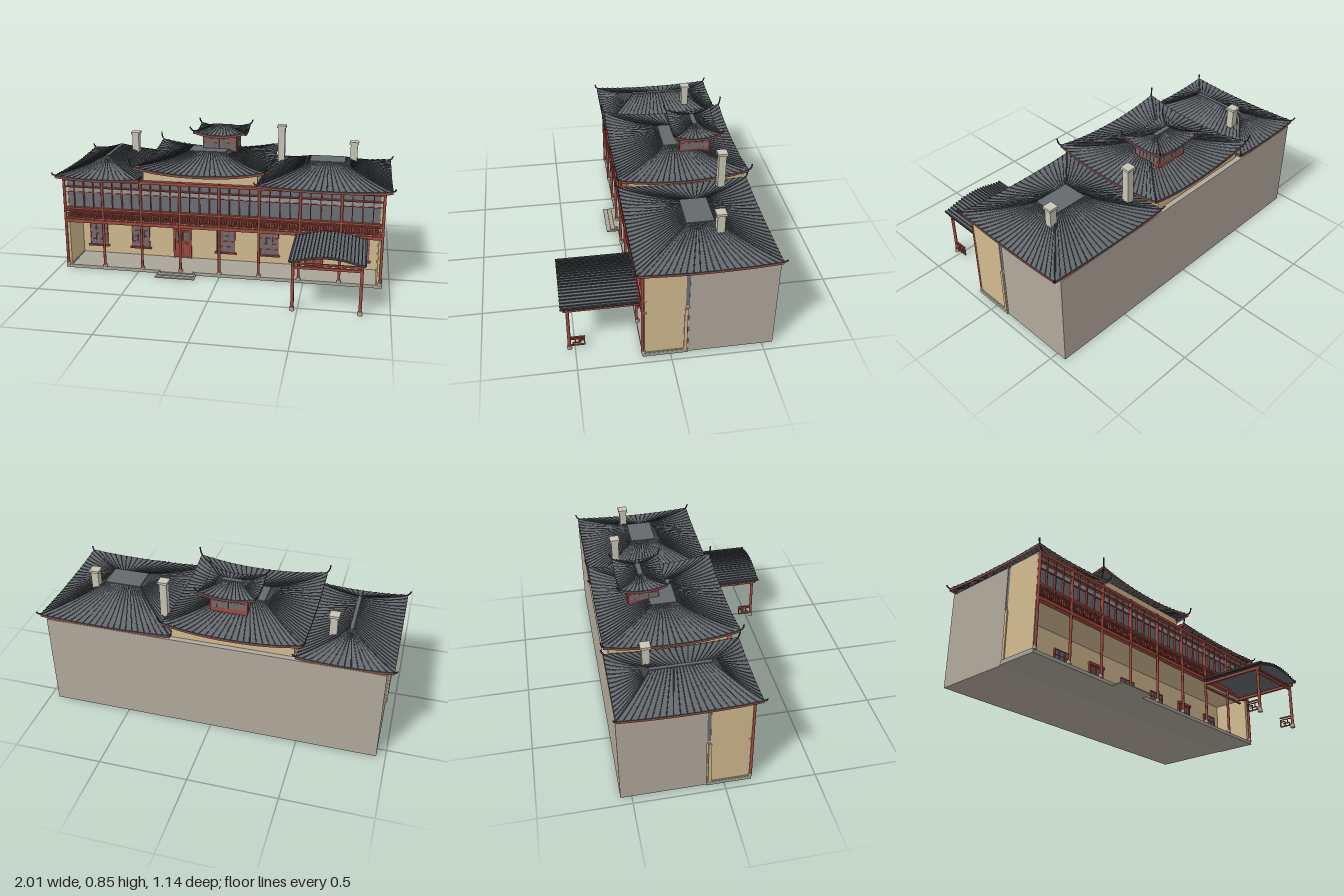
import * as THREE from 'three';
import { mergeGeometries } from 'three/addons/utils/BufferGeometryUtils.js';

const mat = (name, color, side = THREE.FrontSide) => {
  const m = new THREE.MeshStandardMaterial({ color, side });
  m.name = name;
  return m;
};

export function createModel() {
  const M = {
    tile: mat('roof tile', 0x64696e, THREE.DoubleSide),
    rib: mat('dark tile rib', 0x3f4347, THREE.DoubleSide),
    red: mat('red timber', 0xa04b40, THREE.DoubleSide),
    dark: mat('dark red timber', 0x7f3f37),
    tan: mat('tan plaster', 0xd2bb90),
    wall: mat('grey wall', 0xb1a99c),
    glass: mat('window glass', 0x6c7075),
    pale: mat('pale glass', 0x96989a),
    stone: mat('paving stone', 0xa9a598),
    chimney: mat('chimney stone', 0xc9c5b6),
  };
  const model = new THREE.Group();
  // One mesh from one or several geometries; untextured, so uv is dropped
  const add = (name, geos, material, parent = model) => {
    const list = [geos].flat();
    list.forEach(g => g.deleteAttribute('uv'));
    const mesh = new THREE.Mesh(mergeGeometries(list), material);
    mesh.name = name;
    parent.add(mesh);
  };
  // Box given by its extents
  const box = (x0, x1, y0, y1, z0, z1) =>
    new THREE.BoxGeometry(x1 - x0, y1 - y0, z1 - z0)
      .translate((x0 + x1) / 2, (y0 + y1) / 2, (z0 + z1) / 2);
  // Surface swept over u,v in 0..1
  const grid = (nu, nv, fn) => {
    const pos = [], idx = [];
    for (let j = 0; j <= nv; j++)
      for (let i = 0; i <= nu; i++) pos.push(...fn(i / nu, j / nv).toArray());
    for (let j = 0; j < nv; j++)
      for (let i = 0; i < nu; i++) {
        const a = j * (nu + 1) + i, c = a + nu + 1;
        idx.push(a, c, a + 1, a + 1, c, c + 1);
      }
    const g = new THREE.BufferGeometry();
    g.setAttribute('position', new THREE.Float32BufferAttribute(pos, 3));
    g.setIndex(idx);
    g.computeVertexNormals();
    return g;
  };

  // Curved hip roof: sagging eaves, raised corners, tile ribs and curled hips
  function hipRoof(name, { x, z, w, d, tw, td, top, eave, lift, tip, step }) {
    const roof = new THREE.Group();
    roof.name = name;
    const signs = [[1, 1], [1, -1], [-1, -1], [-1, 1]];
    const tiles = [], ribs = [], fascia = [], trim = [], hips = [];
    for (let k = 0; k < 4; k++) {
      const a = signs[k], b = signs[(k + 1) % 4];
      const P = (s, t) => {
        const px = a[0] + (b[0] - a[0]) * s, pz = a[1] + (b[1] - a[1]) * s;
        const y = top + (eave - top) * (1 - (1 - t) ** 1.25) + lift * t * t * Math.abs(2 * s - 1) ** 2.2;
        return new THREE.Vector3(x + px * (tw + (w - tw) * t) / 2, y, z + pz * (td + (d - td) * t) / 2);
      };
      const edge = new THREE.Vector3(b[0] - a[0], 0, b[1] - a[1]).normalize();
      const drop = (y0, y1) => grid(16, 1, (u, v) => {
        const p = P(u, 1);
        p.y -= y0 + (y1 - y0) * v;
        return p;
      });
      tiles.push(grid(16, 10, P));
      fascia.push(drop(0, 0.008));
      trim.push(drop(0.008, 0.017));
      const n = Math.round((k % 2 ? w : d) / step);
      for (let i = 1; i < n; i++)
        ribs.push(grid(2, 8, (u, v) => P(i / n, 0.02 + v * 0.98)
          .addScaledVector(edge, (u - 0.5) * 0.007).add(new THREE.Vector3(0, u === 0.5 ? 0.005 : -0.001, 0))));
      // hip with upturned end
      const pts = [0, 0.25, 0.5, 0.75, 1].map(t => P(0, t));
      const end = pts[4];
      pts.push(new THREE.Vector3(end.x + a[0] * 0.011, end.y + tip * 0.5, end.z + a[1] * 0.009),
        new THREE.Vector3(end.x + a[0] * 0.014, end.y + tip, end.z + a[1] * 0.012));
      hips.push(new THREE.TubeGeometry(new THREE.CatmullRomCurve3(pts), 24, 0.0045, 5));
    }
    add('roofTiles', tiles, M.tile, roof);
    add('roofCap', box(x - tw / 2 - 0.004, x + tw / 2 + 0.004, top - 0.006, top + 0.004, z - td / 2 - 0.004, z + td / 2 + 0.004), M.tile, roof);
    add('tileRibs', [...ribs, ...fascia], M.rib, roof);
    add('hipRidges', hips, M.rib, roof);
    add('eaveTrim', trim, M.red, roof);
    model.add(roof);
  }
  const body = { z: -0.187, d: 0.742, step: 0.036 };
  hipRoof('rightWingRoof', { ...body, x: -0.728, w: 0.515, tw: 0.012, td: 0.32, top: 0.672, eave: 0.58, lift: 0.015, tip: 0.018 });
  hipRoof('leftWingRoof', { ...body, x: 0.604, w: 0.765, tw: 0.2, td: 0.14, top: 0.672, eave: 0.58, lift: 0.015, tip: 0.018 });
  hipRoof('centreRoof', { ...body, x: -0.12, w: 0.775, tw: 0.22, td: 0.14, top: 0.703, eave: 0.632, lift: 0.04, tip: 0.042 });
  hipRoof('turretRoof', { x: -0.061, z: -0.295, w: 0.315, d: 0.265, tw: 0.105, td: 0.018, top: 0.835, eave: 0.795, lift: 0.026, tip: 0.025, step: 0.026 });

  // Main block, veranda slab and end walls
  add('mainBlock', box(-0.95, 0.95, 0, 0.568, -0.56, -0.095), M.wall);
  add('frontWall', box(-0.945, 0.945, 0.02, 0.57, -0.095, -0.085), M.tan);
  add('centreUpperWall', box(-0.46, 0.22, 0.56, 0.635, -0.53, 0.125), M.tan);
  add('verandaFloor', box(-0.957, 0.957, 0, 0.02, -0.095, 0.15), M.stone);
  add('galleryFloor', box(-0.945, 0.945, 0.305, 0.325, -0.085, 0.14), M.tan);
  add('galleryCeiling', box(-0.945, 0.945, 0.562, 0.57, -0.085, 0.14), M.tan);
  for (const s of [-1, 1]) {
    const end = (a, b, ...r) => box(Math.min(s * a, s * b), Math.max(s * a, s * b), ...r);
    add('endWallLower', end(0.925, 0.95, 0.02, 0.312, -0.09, 0.14), M.tan);
    add('endWallUpper', end(0.925, 0.95, 0.312, 0.572, -0.075, 0.14), M.tan);
    add('endPilaster', end(0.925, 0.957, 0.025, 0.308, -0.087, -0.07), M.tan);
    add('endSlit', end(0.925, 0.947, 0.325, 0.565, -0.095, -0.075), M.glass);
    add('endPlinth', end(0.92, 0.956, 0.015, 0.026, -0.09, 0.14), M.stone);
  }
  add('steps', [0, 1, 2].map(i => box(-0.38 + i * 0.01, -0.14 - i * 0.01, 0, 0.007 * (i + 1), 0.14, 0.222 - i * 0.025)), M.stone);

  // Veranda columns on stone bases
  const bay = 0.2362, columns = [], bases = [];
  for (let i = -4; i <= 4; i++) {
    const x = i * bay;
    columns.push(new THREE.CylinderGeometry(0.008, 0.008, 0.55, 10).translate(x, 0.305, 0.15));
    bases.push(new THREE.CylinderGeometry(0.011, 0.014, 0.02, 10).translate(x, 0.028, 0.145));
  }
  add('columns', columns, M.red);
  add('columnBases', bases, M.stone);

  // Glazed gallery
  add('galleryGlass', box(-0.94, 0.94, 0.39, 0.57, 0.13, 0.136), M.glass);
  add('galleryPaleGlass', box(-0.94, 0.94, 0.488, 0.517, 0.136, 0.139), M.pale);
  const frame = [[0.297, 0.317], [0.38, 0.392], [0.517, 0.523], [0.558, 0.575]]
    .map(([a, b]) => box(-0.95, 0.95, a, b, 0.128, 0.156));
  frame.push(box(-0.94, 0.94, 0.484, 0.488, 0.136, 0.144));
  for (let i = -16; i <= 16; i++) {
    const x = i * bay / 4, h = i % 2 ? 0.0025 : 0.004;
    frame.push(box(x - h, x + h, 0.39, 0.56, 0.135, 0.147));
  }
  add('galleryFrame', frame, M.red);
  // Fretwork balustrade
  add('balustradeBack', box(-0.94, 0.94, 0.315, 0.382, 0.13, 0.138), M.dark);
  const fret = [box(-0.94, 0.94, 0.365, 0.369, 0.14, 0.152), box(-0.94, 0.94, 0.325, 0.329, 0.14, 0.152)];
  for (let i = -16; i < 16; i++) {
    const x = i * bay / 4, f = (a, b, c, d) => fret.push(box(x + a, x + b, c, d, 0.14, 0.15));
    f(-0.002, 0.002, 0.317, 0.38);
    f(0.013, 0.017, 0.327, 0.355);
    f(0.013, 0.034, 0.351, 0.355);
    f(0.03, 0.034, 0.339, 0.355);
    f(0.043, 0.047, 0.338, 0.367);
    f(0.025, 0.047, 0.337, 0.341);
  }
  add('balustradeFret', fret, M.red);

  // Ground floor windows and doors
  const zw = -0.085;
  for (const x of [-0.82, -0.545, 0, 0.27, 0.82]) {
    const win = new THREE.Group();
    win.name = 'window';
    add('pane', box(x - 0.056, x + 0.056, 0.075, 0.213, zw, zw + 0.004), M.glass, win);
    const bars = [box(x - 0.068, x + 0.068, 0.066, 0.075, zw, zw + 0.018)];
    for (const o of [-0.056, -0.02, 0.02, 0.056]) bars.push(box(x + o - 0.0025, x + o + 0.0025, 0.075, 0.215, zw, zw + 0.009));
    for (const y of [0.11, 0.145, 0.182, 0.213]) bars.push(box(x - 0.058, x + 0.058, y - 0.002, y + 0.002, zw, zw + 0.008));
    add('bars', bars, M.red, win);
    model.add(win);
  }
  for (const x of [-0.275, 0.545]) {
    const door = new THREE.Group();
    door.name = 'door';
    add('leaves', box(x - 0.048, x + 0.048, 0.02, 0.208, zw, zw + 0.006), M.dark, door);
    const trim = [box(x - 0.06, x + 0.06, 0.207, 0.222, zw, zw + 0.02), box(x - 0.002, x + 0.002, 0.02, 0.208, zw, zw + 0.01)];
    const lights = [];
    for (const s of [-1, 1]) {
      trim.push(box(x + s * 0.052 - 0.005, x + s * 0.052 + 0.005, 0.02, 0.21, zw, zw + 0.012));
      trim.push(box(x + s * 0.025 - 0.016, x + s * 0.025 + 0.016, 0.035, 0.115, zw, zw + 0.009));
      for (const o of [-0.008, 0.008]) lights.push(box(x + s * 0.025 + o - 0.006, x + s * 0.025 + o + 0.006, 0.135, 0.19, zw, zw + 0.008));
    }
    add('doorTrim', trim, M.red, door);
    add('doorPanes', lights, M.glass, door);
    model.add(door);
  }

  // Roof turret
  const [tx0, tx1, tz0, tz1] = [-0.165, 0.045, -0.375, -0.2];
  add('turretBody', box(tx0, tx1, 0.63, 0.8, tz0, tz1), M.red);
  const panes = [];
  for (let i = 0; i < 6; i++) for (const [a, b] of [[0.7, 0.742], [0.747, 0.766]]) {
    const x = tx0 + 0.01 + i * 0.0325, z = tz0 + 0.01 + i * 0.0265;
    panes.push(box(x, x + 0.0275, a, b, tz0 - 0.002, tz1 + 0.002));
    panes.push(box(tx0 - 0.002, tx1 + 0.002, a, b, z, z + 0.0225));
  }
  add('turretPanes', panes, M.glass);

  // Chimneys
  for (const [x, z, top] of [[-0.635, -0.355, 0.758], [0.303, -0.387, 0.828], [0.755, -0.28, 0.765]])
    add('chimney', [box(x - 0.021, x + 0.021, 0.56, top - 0.01, z - 0.021, z + 0.021),
      box(x - 0.028, x + 0.028, top - 0.014, top, z - 0.028, z + 0.028)], M.chimney);

  // Arched entrance canopy
  const canopy = new THREE.Group();
  canopy.name = 'canopy';
  const cx = 0.655, half = 0.2, arch = u => 0.333 - 0.045 * u * u + 0.012 * u ** 8;
  const sheet = (y, z0, z1) => grid(20, 1, (u, v) =>
    new THREE.Vector3(cx + half * (2 * u - 1), arch(2 * u - 1) + y, z0 + (z1 - z0) * v));
  add('canopyTiles', [sheet(0, 0.15, 0.565), sheet(-0.012, 0.565, 0.15)], M.tile, canopy);
  const canopyRibs = [grid(20, 1, (u, v) => new THREE.Vector3(cx + half * (2 * u - 1), arch(2 * u - 1) - 0.012 * v, 0.565))];
  for (let i = 0; i <= 20; i++) {
    const u = i / 10 - 1, x = cx + half * u, y = arch(u), e = i % 20 ? 0.003 : 0.005;
    canopyRibs.push(box(x - e, x + e, y - e, y + 0.006, 0.15, 0.568));
  }
  add('canopyRibs', canopyRibs, M.rib, canopy);
  const timber = [box(0.465, 0.845, 0.246, 0.26, 0.522, 0.536), box(0.465, 0.845, 0.27, 0.28, 0.525, 0.533), box(0.465, 0.845, 0.246, 0.26, 0.15, 0.16)];
  const feet = [];
  for (const x of [0.472, 0.838]) {
    timber.push(box(x - 0.008, x + 0.008, 0.268, 0.284, 0.15, 0.552));
    timber.push(new THREE.CylinderGeometry(0.009, 0.009, 0.25, 10).translate(x, 0.145, 0.53));
    feet.push(new THREE.CylinderGeometry(0.012, 0.015, 0.022, 10).translate(x, 0.011, 0.53));
    // low fretwork rail beside the post
    const r = (y0, y1, z0, z1) => timber.push(box(x - 0.004, x + 0.004, y0, y1, z0, z1));
    r(0.074, 0.081, 0.445, 0.53);
    r(0.062, 0.066, 0.445, 0.53);
    r(0.018, 0.024, 0.445, 0.53);
    r(0.018, 0.066, 0.445, 0.451);
    r(0.036, 0.04, 0.465, 0.51);
    r(0.05, 0.054, 0.451, 0.48);
    r(0.024, 0.054, 0.476, 0.48);
    r(0.036, 0.066, 0.495, 0.499);
    r(0.024, 0.04, 0.508, 0.512);
  }
  add('canopyTimber', timber, M.red, canopy);
  add('canopyFeet', feet, M.stone, canopy);
  model.add(canopy);
  return model;
}
